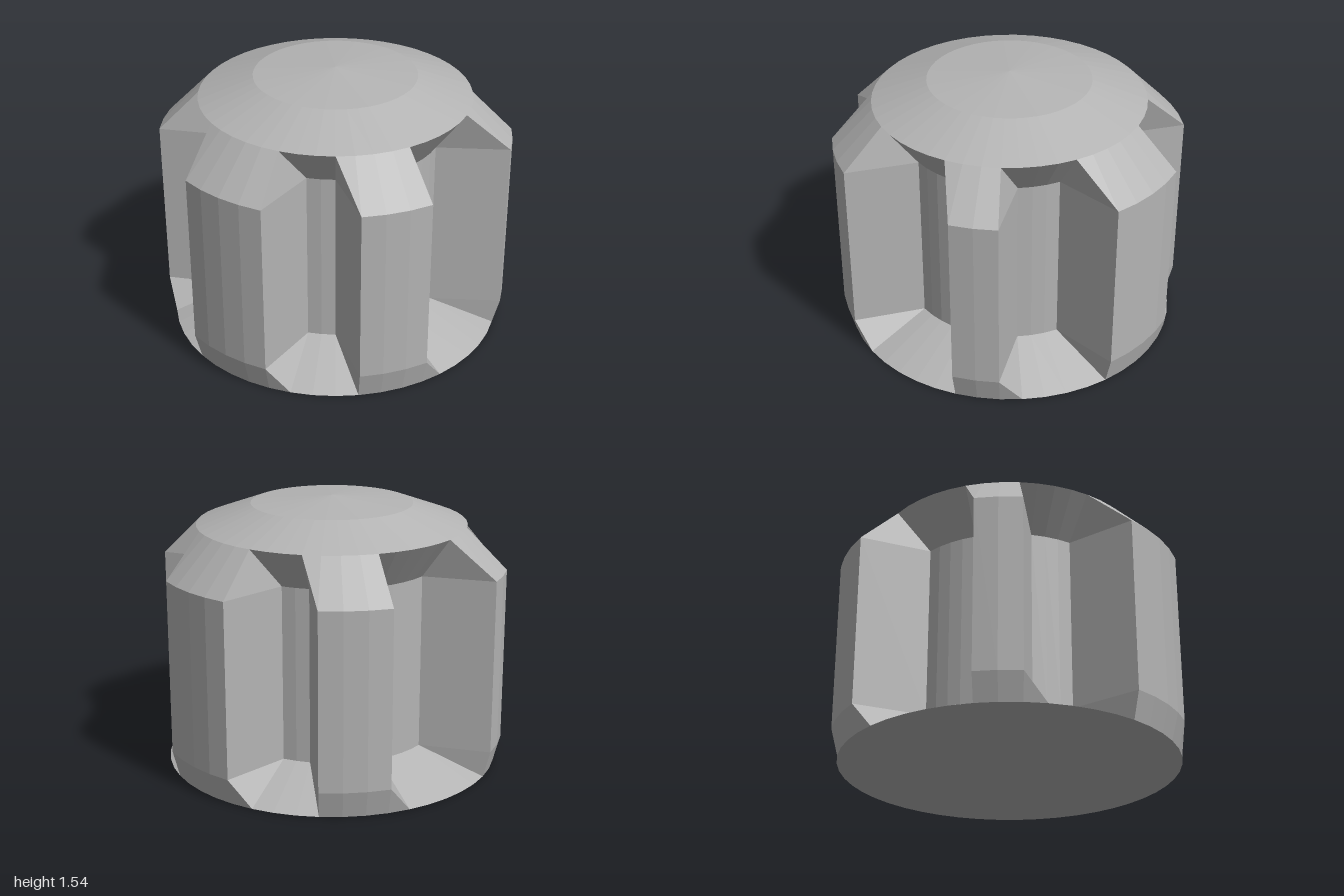
import * as THREE from 'three';

const SEGMENTS = 48;
// angular steps (per half turn) that stand out as ridges; the rest are grooves
const RIDGES = new Set([0, 5, 6, 7, 13, 14, 15, 16, 20, 21, 22, 23]);
const GROOVE_RADIUS = 0.6;

// point k of a ring; fluted rings dip inward at the grooves
function ringPoint({ r, y, fluted }, k) {
  const i = k % SEGMENTS;
  const radius = fluted && !RIDGES.has(i % 24) ? GROOVE_RADIUS : r;
  const a = (i / SEGMENTS) * Math.PI * 2;
  return [radius * Math.cos(a), y, radius * Math.sin(a)];
}

// faceted band of triangles between two rings (radius 0 closes to a point)
function band(name, low, high, material) {
  const positions = [];
  for (let k = 0; k < SEGMENTS; k++) {
    const a = ringPoint(low, k), b = ringPoint(low, k + 1);
    const c = ringPoint(high, k + 1), d = ringPoint(high, k);
    if (high.r > 0) positions.push(...a, ...d, ...c);
    if (low.r > 0) positions.push(...a, ...c, ...b);
  }
  const geometry = new THREE.BufferGeometry();
  geometry.setAttribute('position', new THREE.Float32BufferAttribute(positions, 3));
  geometry.computeVertexNormals(); // unshared corners give flat facets
  const mesh = new THREE.Mesh(geometry, material);
  mesh.name = name;
  return mesh;
}

export function createModel() {
  const group = new THREE.Group();
  group.name = 'flutedKnob';
  const grey = new THREE.MeshStandardMaterial({ color: 0xb4b4b4 });
  grey.name = 'lightGrey';
  grey.flatShading = true;

  // rings from the underside centre up to the tip of the dome
  const rings = [
    { r: 0, y: 0 },
    { r: 0.96, y: 0 },
    { r: 1, y: 0.155, fluted: true },
    { r: 1, y: 1.155, fluted: true },
    { r: 0.77, y: 1.385 },
    { r: 0.46, y: 1.5 },
    { r: 0, y: 1.54 },
  ];
  const names = ['underside', 'baseChamfer', 'flutedGrip', 'shoulder', 'domeSlope', 'domeCap'];
  names.forEach((name, i) => group.add(band(name, rings[i], rings[i + 1], grey)));
  return group;
}
